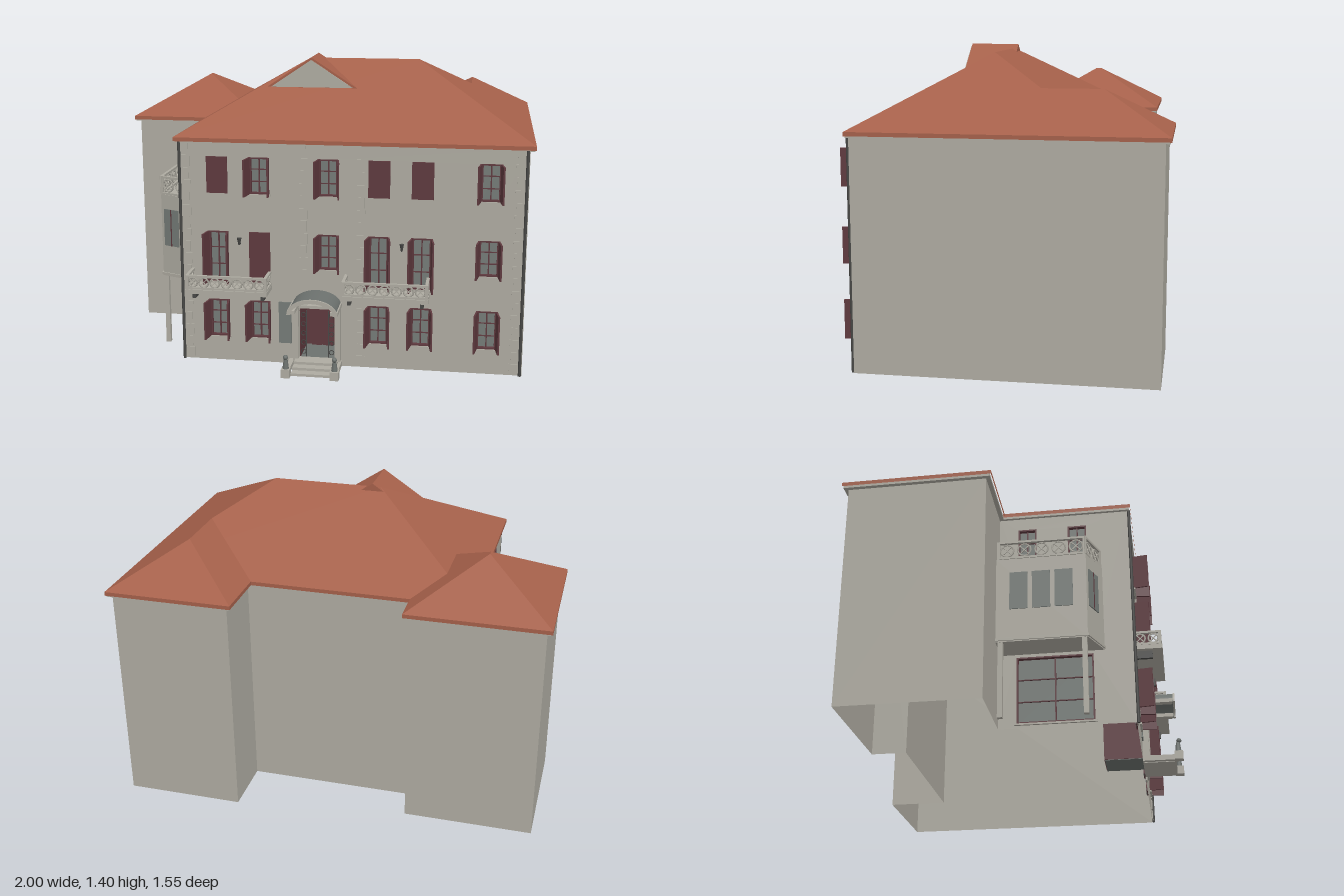
import * as THREE from 'three';

const mat = (name, color, side = THREE.FrontSide) => {
  const m = new THREE.MeshStandardMaterial({ color, side });
  m.name = name;
  return m;
};

export function createModel() {
  const root = new THREE.Group();
  root.name = 'villa';
  const stone = mat('stone', 0xaeaba1);
  const wall = mat('wall plaster', 0xaeaba1, THREE.DoubleSide);
  const tile = mat('roof tile', 0xa5604a);
  const red = mat('dark red wood', 0x5e393e, THREE.DoubleSide);
  const glass = mat('glass', 0x757b77, THREE.DoubleSide);
  const slate = mat('canopy grey', 0x6c716e);
  const iron = mat('iron', 0x484846);

  const add = (name, geo, material, parent = root) => {
    const m = new THREE.Mesh(geo, material);
    m.name = name;
    parent.add(m);
    return m;
  };
  const box = (name, material, w, h, d, x, y, z, parent = root) => {
    const m = add(name, new THREE.BoxGeometry(w, h, d), material, parent);
    m.position.set(x, y, z);
    return m;
  };
  // Vertical prism over a plan outline of [x, z] points
  const prism = (name, material, pts, y0, y1) => {
    const s = new THREE.Shape(pts.map(([x, z]) => new THREE.Vector2(x, -z)));
    const g = new THREE.ExtrudeGeometry(s, { depth: y1 - y0, bevelEnabled: false });
    return add(name, g.rotateX(-Math.PI / 2).translate(0, y0, 0), material);
  };
  // Group whose local x runs along the plan line a -> b, with local z outward
  const along = (name, a, b) => {
    const g = new THREE.Group();
    g.name = name;
    g.position.set(a[0], 0, a[1]);
    g.rotation.y = Math.atan2(a[1] - b[1], b[0] - a[0]);
    root.add(g);
    return g;
  };

  // Window kinds: open (swung shutters), closed (shut shutters), plain (glass only)
  const addWindow = (g, [u, y0, w, h, kind]) => {
    const y = y0 + h / 2;
    if (kind === 'closed') {
      box('closedShutters', red, w, h, 0.012, u, y, 0, g);
      return;
    }
    box('windowGlass', glass, w, h, 0.004, u, y, -0.018, g);
    for (const s of [-1, 1]) {
      box('windowJamb', red, 0.007, h, 0.022, u + s * (w / 2 - 0.0035), y, -0.008, g);
      box('windowRail', red, w, 0.007, 0.022, u, y + s * (h / 2 - 0.0035), -0.008, g);
      if (kind === 'open') {
        const sh = box('openShutter', red, 0.008, h, 0.074, u + s * (w / 2 + 0.007), y, 0.037, g);
        sh.rotation.y = s * 0.15;
      }
    }
    box('mullion', red, 0.006, h, 0.008, u, y, -0.013, g);
    for (const t of [1 / 3, 2 / 3]) box('glazingBar', red, w, 0.004, 0.008, u, y0 + h * t, -0.013, g);
    box('windowSill', stone, w + 0.02, 0.008, 0.012, u, y0 - 0.004, 0.004, g);
  };
  const TOP = 1.05;
  const wallPanel = (name, a, b, windows = [], holes = []) => {
    const g = along(name, a, b);
    const L = Math.hypot(b[0] - a[0], b[1] - a[1]);
    const s = new THREE.Shape([[0, 0], [L, 0], [L, TOP], [0, TOP]].map(p => new THREE.Vector2(...p)));
    for (const [u, y, w, h] of [...windows, ...holes]) {
      const l = u - w / 2, r = u + w / 2;
      s.holes.push(new THREE.Path([[l, y], [l, y + h], [r, y + h], [r, y]].map(p => new THREE.Vector2(...p))));
    }
    add(name + 'Surface', new THREE.ShapeGeometry(s), wall, g);
    windows.forEach(w => addWindow(g, w));
  };

  // Front wall windows: column x, then kind for ground, middle and top floors
  const X0 = -0.61, ZF = 0.585;
  const columns = [
    [-0.43, 'open', 'open', 'closed'], [-0.235, 'open', 'closed', 'open'], [0.085, null, 'open', 'open'],
    [0.315, 'open', 'open', 'closed'], [0.51, 'open', 'open', 'closed'], [0.81, 'open', 'open', 'open']];
  const frontWindows = [];
  for (const [x, ...kinds] of columns) kinds.forEach((k, f) => {
    if (!k) return;
    const balcony = f === 1 && x !== 0.085 && x !== 0.81;
    const y0 = [0.12, balcony ? 0.39 : 0.465, 0.81][f];
    const y1 = [0.3, 0.63, 0.98][f];
    frontWindows.push([x - X0, y0, k === 'closed' ? 0.098 : 0.085, y1 - y0, k]);
  });
  const DX = 0.033, DW = 0.165;
  wallPanel('frontWall', [X0, ZF], [0.975, ZF], frontWindows, [[DX - X0, 0.03, DW, 0.25]]);

  // Remaining walls around the plan, open underneath
  const plan = [[0.975, ZF], [0.975, -0.75], [0.425, -0.75], [0.425, -0.475], [-0.375, -0.475],
    [-0.375, -0.635], [-0.975, -0.635], [-0.975, -0.01], [X0, -0.01]];
  for (let i = 0; i < plan.length - 1; i++) wallPanel('outerWall', plan[i], plan[i + 1]);
  wallPanel('sideWall', [X0, -0.01], [X0, ZF],
    [[0.25, 0.02, 0.34, 0.31, 'plain'], [0.13, 0.78, 0.085, 0.2, 'plain'], [0.36, 0.78, 0.085, 0.2, 'plain']]);

  // Hipped roofs with a short fascia and a soffit
  const EAVE = 1.065, SLOPE = 0.573;
  const hipRoof = (name, x0, x1, z0, z1) => {
    const w = x1 - x0, d = z1 - z0, h = Math.min(w, d) / 2, y = EAVE + h * SLOPE;
    const wide = w >= d, cx = (x0 + x1) / 2, cz = (z0 + z1) / 2;
    const [A, B, C, D] = [[x0, EAVE, z1], [x1, EAVE, z1], [x1, EAVE, z0], [x0, EAVE, z0]];
    const P = wide ? [x0 + h, y, cz] : [cx, y, z1 - h];
    const Q = wide ? [x1 - h, y, cz] : [cx, y, z0 + h];
    const faces = wide ? [[A, B, Q, P], [B, C, Q], [C, D, P, Q], [D, A, P]]
      : [[A, B, P], [B, C, Q, P], [C, D, Q], [D, A, P, Q]];
    const low = p => [p[0], 1.047, p[2]];
    [[A, B], [B, C], [C, D], [D, A]].forEach(([p, q]) => faces.push([low(p), low(q), q, p]));
    const pos = [];
    for (const f of faces) for (let i = 1; i < f.length - 1; i++) pos.push(...f[0], ...f[i], ...f[i + 1]);
    const g = new THREE.BufferGeometry();
    g.setAttribute('position', new THREE.Float32BufferAttribute(pos, 3));
    g.computeVertexNormals();
    add(name, g, tile);
    box(name + 'Soffit', stone, w - 0.012, 0.012, d - 0.012, cx, 1.046, cz);
  };
  hipRoof('mainRoof', -0.63, 1, -0.5, 0.6);
  hipRoof('wingRoof', 0.4, 1, -0.775, 0.2);
  hipRoof('towerRoof', -1, -0.35, -0.66, 0.015);

  // Gabled dormer
  const tri = (x0, x1, y0, yt) => new THREE.Shape([[x0, y0], [x1, y0], [-0.045, yt]].map(p => new THREE.Vector2(...p)));
  const ext = (s, d, z) => new THREE.ExtrudeGeometry(s, { depth: d, bevelEnabled: false, curveSegments: 16 }).translate(0, 0, z);
  add('dormerRoof', ext(tri(-0.265, 0.18, 1.255, 1.402), 0.235, 0.025), tile);
  add('dormerGable', ext(tri(-0.238, 0.153, 1.261, 1.39), 0.006, 0.26), stone);

  // Railing with a row of rings and diagonal crosses
  const railing = (a, b, y0, y1) => {
    const g = along('railing', a, b);
    const L = Math.hypot(b[0] - a[0], b[1] - a[1]), H = y1 - y0, r = H * 0.33;
    for (const y of [y0 + 0.006, y1 - 0.005]) box('rail', stone, L, 0.01, 0.014, L / 2, y, 0, g);
    for (const u of [0, L]) box('railPost', stone, 0.014, H, 0.014, u, y0 + H / 2, 0, g);
    const n = Math.max(1, Math.round(L / (H * 0.8)));
    for (let i = 0; i < n; i++) {
      const u = (i + 0.5) * L / n;
      add('railRing', new THREE.TorusGeometry(r, 0.004, 4, 12), stone, g).position.set(u, y0 + H / 2, 0);
      for (const s of [-1, 1])
        box('railCross', stone, r * 2, 0.004, 0.005, u, y0 + H / 2, 0, g).rotation.z = s * Math.PI / 4;
    }
  };

  // Front balconies on brackets
  for (const [x0, x1] of [[-0.56, -0.18], [0.16, 0.55]]) {
    const xc = (x0 + x1) / 2, w = x1 - x0, z = 0.7;
    box('balconySlab', stone, w, 0.02, 0.125, xc, 0.37, 0.6475);
    for (const x of [x0 + 0.03, x1 - 0.03]) box('balconyBracket', iron, 0.015, 0.035, 0.08, x, 0.343, 0.625);
    railing([x0 + 0.008, z], [x1 - 0.008, z], 0.38, 0.447);
    railing([x0 + 0.008, ZF], [x0 + 0.008, z], 0.38, 0.447);
    railing([x1 - 0.008, z], [x1 - 0.008, ZF], 0.38, 0.447);
  }

  // Side bay: open porch below, glazed room, balcony on top
  const bay = [[X0, 0.0], [-0.755, 0.0], [-0.755, 0.4], [X0, 0.46]];
  prism('bayRoom', stone, bay, 0.345, 0.75);
  prism('bayFloorBand', stone, [[X0, 0], [-0.76, 0], [-0.76, 0.405], [X0, 0.465]], 0.35, 0.362);
  for (const z of [0.02, 0.385]) box('porchPost', stone, 0.022, 0.345, 0.022, -0.743, 0.1725, z);
  const slant = along('baySlantedWindow', bay[2], bay[3]);
  box('bayGlass', glass, 0.085, 0.18, 0.006, 0.06, 0.59, 0.002, slant);
  box('bayMullion', red, 0.005, 0.18, 0.008, 0.06, 0.59, 0.003, slant);
  for (const z of [0.1, 0.2, 0.3]) box('baySideGlass', glass, 0.006, 0.18, 0.08, -0.756, 0.59, z);
  railing([-0.75, 0.01], [-0.75, 0.396], 0.75, 0.84);
  railing([-0.75, 0.396], [X0, 0.45], 0.75, 0.84);

  // Entrance recess, door leaves and stone surround
  box('entranceRecessBack', red, DW, 0.25, 0.006, DX, 0.155, 0.405);
  box('entranceCeiling', red, DW, 0.006, 0.18, DX, 0.28, 0.495);
  box('entranceFloor', slate, DW, 0.006, 0.18, DX, 0.03, 0.495);
  for (const s of [-1, 1]) {
    box('entranceSide', red, 0.006, 0.25, 0.18, DX + s * DW / 2, 0.155, 0.495);
    box('doorLeaf', red, 0.05, 0.2, 0.008, DX + s * 0.027, 0.133, 0.415);
    box('ironScreen', iron, 0.004, 0.23, 0.006, DX + s * 0.052, 0.148, 0.58);
    for (let i = 0; i < 5; i++)
      add('ironScroll', new THREE.TorusGeometry(0.011, 0.002, 4, 10), iron).position.set(DX + s * 0.066, 0.06 + i * 0.045, 0.58);
    box('portalColumn', stone, 0.026, 0.27, 0.03, DX + s * 0.098, 0.165, 0.6);
    box('portalCapital', stone, 0.034, 0.018, 0.15, DX + s * 0.098, 0.302, 0.662);
    // Stair pedestals with seated guardian figures
    const x = DX - 0.008 + s * 0.112;
    box('pedestal', stone, 0.04, 0.04, 0.04, x, 0.02, 0.752);
    box('stairCheek', stone, 0.022, 0.025, 0.15, x, 0.0125, 0.66);
    add('statueBody', new THREE.CylinderGeometry(0.009, 0.015, 0.045, 8), slate).position.set(x, 0.062, 0.75);
    add('statueHead', new THREE.SphereGeometry(0.012, 8, 6), slate).position.set(x, 0.094, 0.755);
  }
  box('doorLintel', stone, 0.2, 0.014, 0.03, DX, 0.288, 0.595);
  for (let i = 0; i < 3; i++) {
    const d = 0.155 - i * 0.042;
    box('entranceStep', stone, 0.2, 0.012, d, DX, 0.006 + i * 0.012, ZF + d / 2);
  }

  // Arched canopy over the door
  const archShape = (rx, ry, t) => {
    const s = new THREE.Shape();
    s.absellipse(DX, 0.295, rx, ry, 0, Math.PI, false);
    s.absellipse(DX, 0.295, rx - t, ry - t, Math.PI, 0, true);
    return s;
  };
  add('canopyVault', ext(archShape(0.112, 0.07, 0.01), 0.155, ZF), slate);
  add('canopyArch', ext(archShape(0.116, 0.074, 0.018), 0.009, 0.739), stone);
  box('sidePanel', glass, 0.06, 0.2, 0.006, -0.118, 0.2, ZF + 0.003);

  // Quoins, downpipes and wall lamps
  for (const x of [-0.575, -0.03, 0.235, 0.935])
    for (let i = 0; i < 18; i++) {
      if (x === -0.03 && i < 7) continue;
      box('quoin', stone, i % 2 ? 0.026 : 0.04, 0.05, 0.006, x, 0.03 + i * 0.058, ZF + 0.002);
    }
  for (const x of [-0.604, 0.965])
    add('downpipe', new THREE.CylinderGeometry(0.007, 0.007, 1.045, 8), iron).position.set(x, 0.5225, 0.592);
  for (const x of [-0.325, 0.422]) {
    box('lampArm', iron, 0.004, 0.004, 0.03, x, 0.575, 0.6);
    add('lampLantern', new THREE.CylinderGeometry(0.011, 0.005, 0.03, 6), iron).position.set(x, 0.592, 0.612);
  }
  return root;
}
